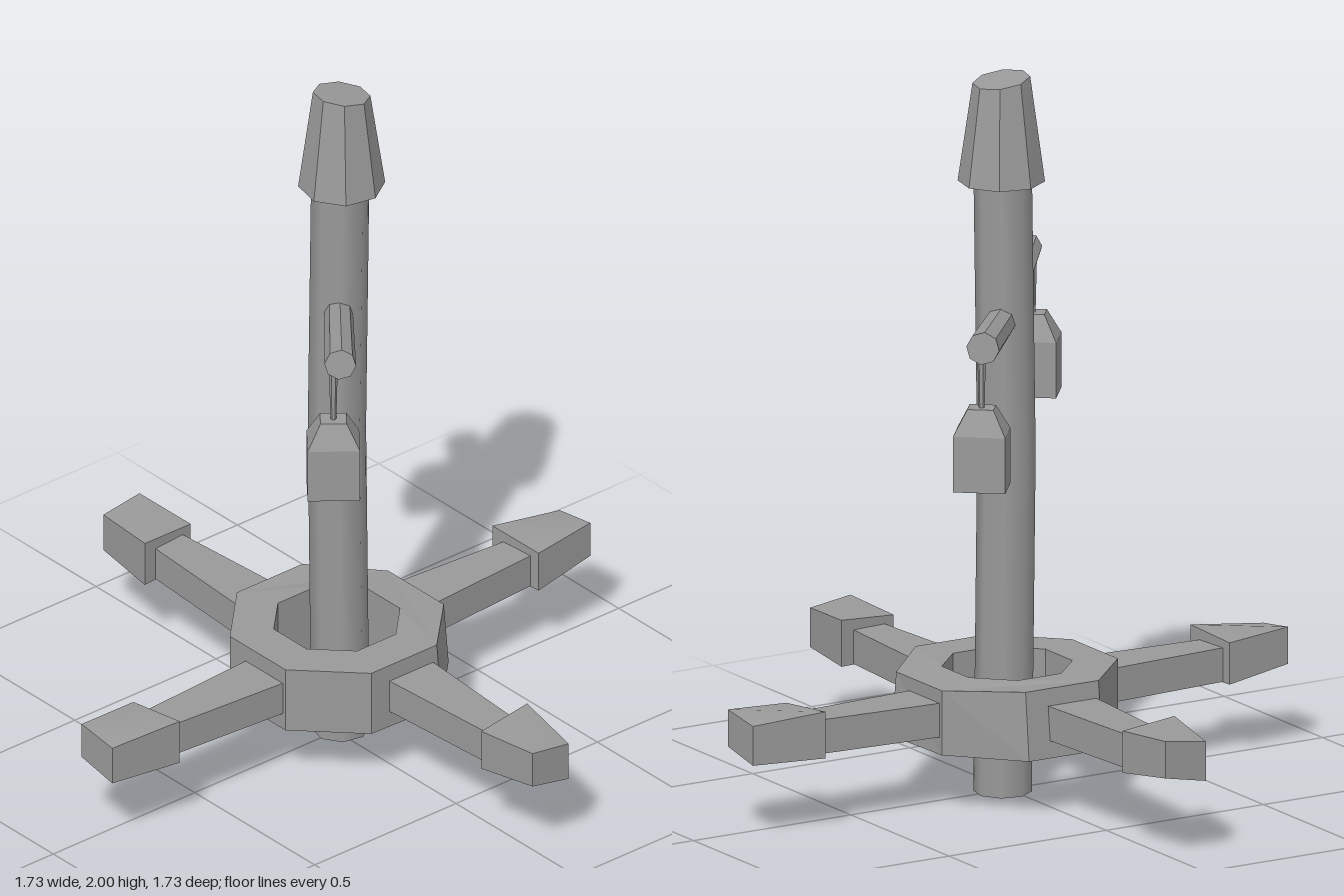
import * as THREE from 'three';

const color = 0x9a9a9a;
const faceted = new THREE.MeshStandardMaterial({ color, flatShading: true });
const smooth = new THREE.MeshStandardMaterial({ color });

function addMesh(parent, name, geometry, material = faceted) {
  const mesh = new THREE.Mesh(geometry, material);
  mesh.name = name;
  parent.add(mesh);
  return mesh;
}

// Move every vertex of a geometry by a rule
function reshape(geometry, rule) {
  const pos = geometry.attributes.position;
  const v = new THREE.Vector3();
  for (let i = 0; i < pos.count; i++) {
    v.fromBufferAttribute(pos, i);
    rule(v);
    pos.setXYZ(i, v.x, v.y, v.z);
  }
  return geometry;
}

// Straight round bar between two points
function bar(parent, name, a, b, rA, rB, sides) {
  const dir = b.clone().sub(a);
  const mesh = addMesh(parent, name, new THREE.CylinderGeometry(rB, rA, dir.length(), sides));
  mesh.position.copy(a).addScaledVector(dir, 0.5);
  mesh.quaternion.setFromUnitVectors(new THREE.Vector3(0, 1, 0), dir.normalize());
}

function octagon(Type, apothem) {
  const r = apothem / Math.cos(Math.PI / 8);
  const points = [];
  for (let i = 0; i < 8; i++) {
    const a = (i + 0.5) * Math.PI / 4;
    points.push(new THREE.Vector2(r * Math.cos(a), r * Math.sin(a)));
  }
  return new Type(points);
}

// Arm pointing along +z: tapered beam and a slightly twisted block at its tip
function makeArm() {
  const arm = new THREE.Group();
  arm.name = 'baseArm';
  addMesh(arm, 'armBeam', reshape(new THREE.BoxGeometry(1, 0.095, 1), (v) => {
    const t = v.z + 0.5;
    v.set(0.027 + v.x * (0.157 - 0.055 * t), v.y + 0.257, 0.26 + t * 0.42);
  }));
  const tip = reshape(new THREE.BoxGeometry(1, 1, 1), (v) => {
    const outer = v.z > 0, right = v.x > 0, top = v.y > 0;
    const y = outer ? (top ? (right ? 0.32 : 0.338) : (right ? 0.21 : 0.235))
      : (top ? (right ? 0.338 : 0.325) : 0.208);
    v.set(outer ? (right ? 0.088 : -0.04) : (right ? 0.12 : -0.055), y,
      outer ? 0.866 : (right ? 0.655 : 0.67));
  });
  tip.computeVertexNormals();
  addMesh(arm, 'armTip', tip, smooth);
  return arm;
}

// Hanging lantern: cord, sloped roof and square body
function makeLantern(x, bottom, z, hookY) {
  const lantern = new THREE.Group();
  lantern.name = 'lantern';
  lantern.position.set(x, bottom, z);
  lantern.rotation.y = -0.68;
  const body = addMesh(lantern, 'lanternBody', new THREE.BoxGeometry(0.115, 0.155, 0.142));
  body.position.y = 0.0775;
  const roof = addMesh(lantern, 'lanternRoof', reshape(new THREE.BoxGeometry(0.115, 0.07, 0.142), (v) => {
    if (v.y > 0) { v.x *= 0.5; v.z *= 0.5; }
  }));
  roof.position.y = 0.19;
  bar(lantern, 'lanternCord', new THREE.Vector3(0, 0.22, 0),
    new THREE.Vector3(0, hookY - bottom, 0), 0.008, 0.012, 6);
  return lantern;
}

export function createModel() {
  const model = new THREE.Group();
  model.name = 'lanternPost';

  // Post with a slight bow
  const turn = 0.18;
  const post = addMesh(model, 'post', reshape(
    new THREE.CylinderGeometry(0.079, 0.079, 1.74, 8, 2).rotateY(turn), (v) => {
      if (Math.abs(v.y) < 0.1) { v.z += 0.012; v.y += 0.08; }
    }), smooth);
  post.position.set(-0.008, 0.87, -0.022);

  // Tapered cap with a top sloping down to the back
  const cap = addMesh(model, 'postCap', reshape(
    new THREE.CylinderGeometry(0.078, 0.118, 0.295, 8).rotateY(turn), (v) => {
      if (v.y > 0) v.y += (v.z - 0.076) * 0.16;
    }));
  cap.position.set(-0.006, 1.8525, -0.025);

  // Octagonal ring around the post, a little uneven at the back and side
  const shape = octagon(THREE.Shape, 0.28);
  shape.holes.push(octagon(THREE.Path, 0.165));
  const ring = new THREE.ExtrudeGeometry(shape, { depth: 0.19, bevelEnabled: false });
  ring.rotateX(-Math.PI / 2).translate(0, 0.162, -0.003);
  addMesh(model, 'baseRing', reshape(ring, (v) => {
    if (v.y > 0.3) {
      if (v.z < -0.25) v.y -= 0.01;
    } else if (v.x < -0.25) {
      v.x -= 0.018;
    } else if (v.x > 0.1 && v.z < -0.1 && Math.hypot(v.x, v.z) > 0.25) {
      v.x += 0.008;
      v.z -= 0.01;
    }
  }));

  // Four arms around the ring
  for (let i = 0; i < 4; i++) {
    const arm = makeArm();
    arm.rotation.y = i * Math.PI / 2;
    model.add(arm);
  }

  // Two branches, each with a lantern
  bar(model, 'branchFront', new THREE.Vector3(0.01, 1.332, 0),
    new THREE.Vector3(0.33, 1.402, 0.265), 0.039, 0.043, 8);
  bar(model, 'branchBack', new THREE.Vector3(-0.03, 1.32, -0.04),
    new THREE.Vector3(-0.352, 1.355, -0.3), 0.042, 0.045, 8);
  model.add(makeLantern(0.307, 1.0, 0.27, 1.39));
  model.add(makeLantern(-0.33, 0.96, -0.29, 1.35));

  return model;
}
